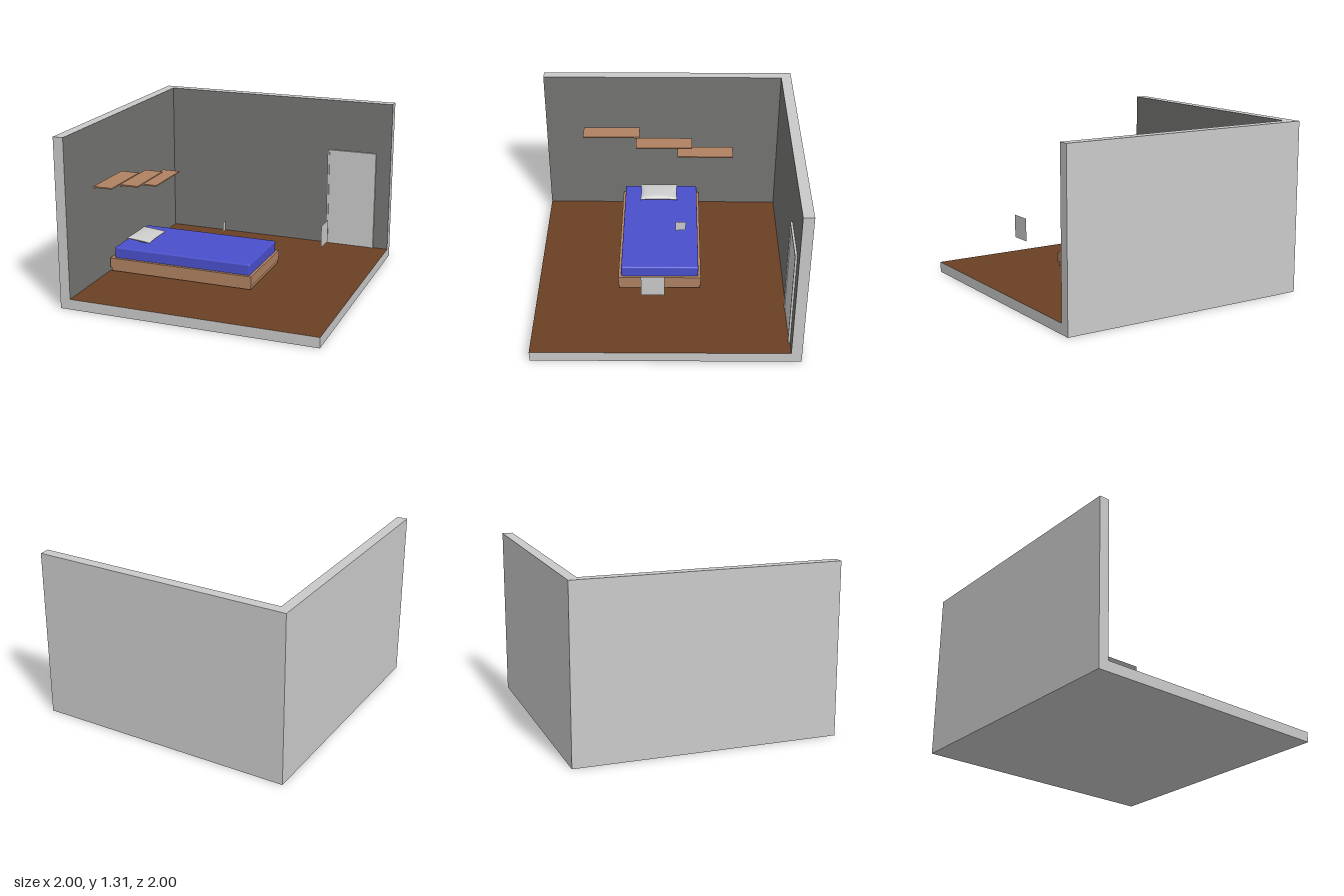
import * as THREE from 'three';
import { RoundedBoxGeometry } from 'three/addons/geometries/RoundedBoxGeometry.js';

const mat = (name, color, side = THREE.FrontSide) =>
  Object.assign(new THREE.MeshStandardMaterial({ color, side }), { name });

export function createModel() {
  const room = new THREE.Group();
  room.name = 'bedroom';
  const pale = mat('paleGrey', 0xcacaca);
  const paper = mat('paleGreySheet', 0xcacaca, THREE.DoubleSide);
  const wallPaint = mat('darkGreyWall', 0x757573);
  const floorWood = mat('darkBrownFloor', 0x6b4023);
  const wood = mat('lightWood', 0xb08262);
  const blue = mat('blueFabric', 0x4a50cc);

  const add = (name, geometry, material, parent = room) => {
    const mesh = new THREE.Mesh(geometry, material);
    mesh.name = name;
    parent.add(mesh);
    return mesh;
  };
  // Box given by its minimum and maximum corners
  const box = (name, [x0, y0, z0], [x1, y1, z1], material, parent) => {
    const mesh = add(name, new THREE.BoxGeometry(x1 - x0, y1 - y0, z1 - z0), material, parent);
    mesh.position.set((x0 + x1) / 2, (y0 + y1) / 2, (z0 + z1) / 2);
    return mesh;
  };

  // Room shell; box face order is +x, -x, +y, -y, +z, -z
  const H = 1.305, T = -0.92, F = 0.08;
  box('floor', [T, 0, T], [1, F, 1], [pale, pale, floorWood, pale, pale, pale]);
  box('sideWallBase', [-1, 0, -1], [T, F, 1], pale);
  box('sideWall', [-1, F, T], [T, H, 1], [wallPaint, pale, pale, pale, pale, pale]);
  box('backWallBase', [T, 0, -1], [1, F, T], pale);
  box('backWall', [T, F, -1], [1, H, T], [pale, pale, pale, pale, wallPaint, pale]);
  box('wallCorner', [-1, F, -1], [T, H, T], pale);

  // Door with its frame
  const door = new THREE.Group();
  door.name = 'door';
  room.add(door);
  box('doorPanel', [0.485, F, T], [0.87, 0.88, -0.912], pale, door);
  box('doorFrameLeft', [0.865, F, T], [0.88, 0.89, -0.904], pale, door);
  box('doorFrameRight', [0.473, F, T], [0.488, 0.89, -0.904], pale, door);
  box('doorFrameTop', [0.488, 0.873, T], [0.865, 0.89, -0.904], pale, door);

  // Bed
  const bed = new THREE.Group();
  bed.name = 'bed';
  room.add(bed);
  box('bedBase', [-0.895, 0.09, -0.262], [0.263, 0.118, 0.367], wood, bed);
  box('bedFrame', [-0.905, 0.118, -0.27], [0.27, 0.195, 0.373], wood, bed);
  add('mattress', new RoundedBoxGeometry(1.125, 0.1, 0.6, 3, 0.012), blue, bed)
    .position.set(-0.313, 0.23, 0.05);

  // Pillow: a box swollen in the middle, with pinched sides
  const cushion = new THREE.BoxGeometry(2, 2, 2, 14, 1, 18);
  const p = cushion.attributes.position;
  for (let i = 0; i < p.count; i++) {
    const u = p.getX(i), v = p.getZ(i), a = 1 - u * u, b = 1 - v * v;
    p.setXYZ(i,
      0.1 * u * (1 - 0.08 * b),
      Math.sign(p.getY(i)) * (0.002 + 0.023 * Math.pow(a * b, 0.4)),
      0.155 * v * (1 - 0.05 * a));
  }
  cushion.computeVertexNormals();
  const pillow = add('pillow', cushion, pale, bed);
  pillow.position.set(-0.733, 0.31, 0.068);
  pillow.rotation.z = -0.1;

  // Three stepped wall shelves, each with a small lip at the back
  [[0.868, 0.225], [0.766, -0.205], [0.681, -0.545]].forEach(([y, z], i) => {
    const shelf = new THREE.Group();
    shelf.name = `shelf${i + 1}`;
    room.add(shelf);
    box('board', [-0.86, y - 0.01, z], [-0.71, y, z + 0.46], wood, shelf);
    box('backLip', [-0.86, y - 0.018, z], [-0.85, y - 0.01, z + 0.46], wood, shelf);
  });

  // Two thin upright sheets
  const largeSheet = add('largeSheet', new THREE.PlaneGeometry(0.172, 0.172), paper);
  largeSheet.position.set(0.75, 0.506, 0.094);
  largeSheet.rotation.y = Math.PI / 2;
  const outline = [[-0.043, -0.04], [0.04, -0.04], [0.04, 0.034], [0.045, 0.034],
    [0.045, 0.038], [-0.01, 0.038], [-0.012, 0.043], [-0.044, 0.043]];
  const smallSheet = add('smallSheet',
    new THREE.ShapeGeometry(new THREE.Shape(outline.map(([x, y]) => new THREE.Vector2(x, y)))), paper);
  smallSheet.position.set(-0.136, 0.395, -0.114);
  smallSheet.rotation.y = Math.PI / 2 - 0.12;
  smallSheet.rotation.y = Math.PI / 2 + 0.12;
  return room;
}
